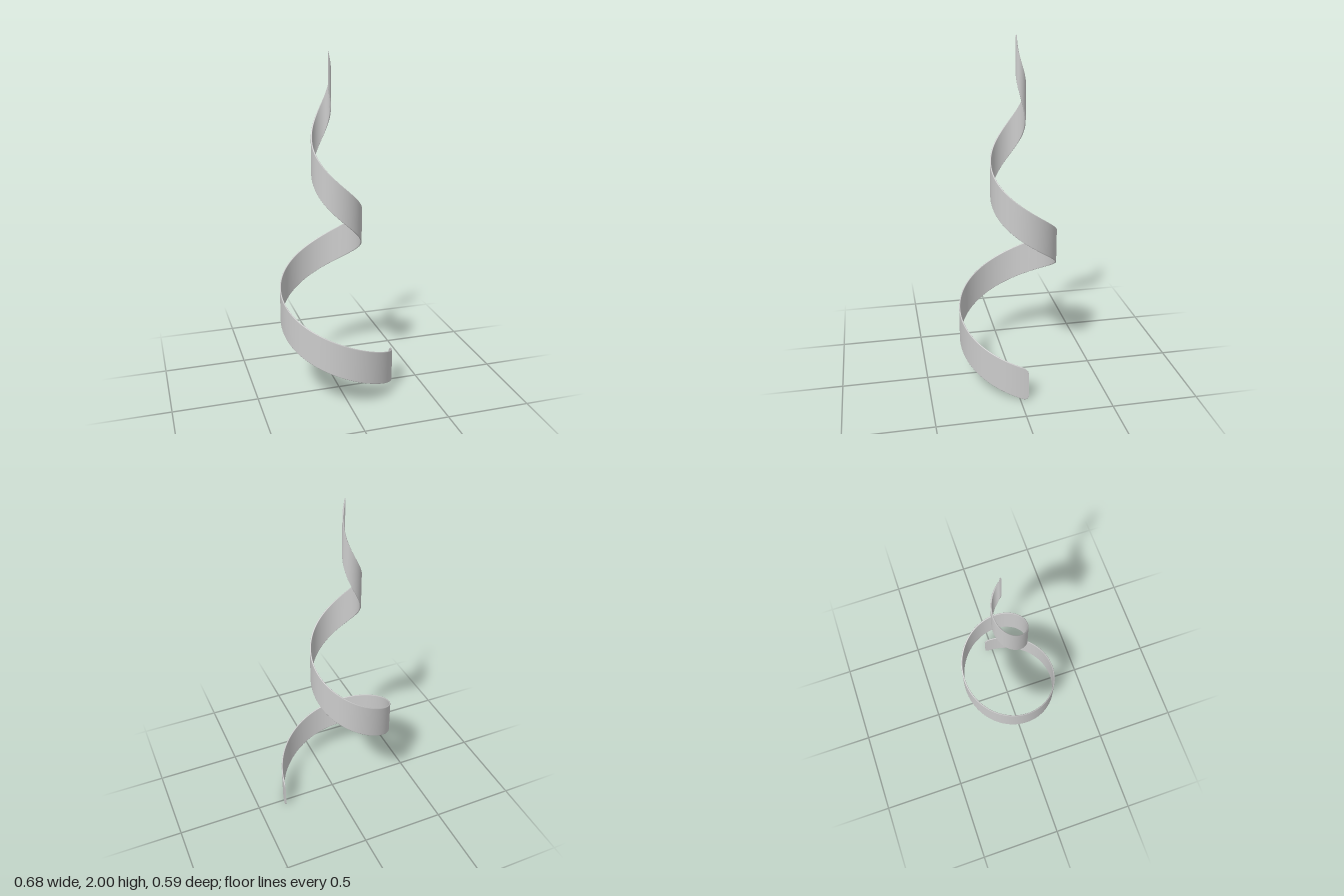
import * as THREE from 'three';

// Spiral centre line: radius shrinks evenly to zero over two turns while it climbs
const TURNS = 2, R0 = 0.386, K = R0 / (TURNS * Math.PI * 2);
const CX = -0.047, CZ = -0.048;
const Y0 = 0.093, Y1 = 1.897;
const HALF_H = 0.103, HALF_T = 0.0035;
const ROUND_LEN = 0.036, ROUND_DROP = 0.032;

// Band cross-section (across, up) with softened upper and lower edges
function section(halfH) {
  const right = [[1, -0.006], [1, -0.003], [0.75, -0.001], [0.3, 0]];
  const top = right.map(([u, d]) => [u * HALF_T, halfH + d]);
  const quarter = (sx, sy) => top.map(([u, v]) => [u * sx, v * sy]);
  return [
    ...quarter(1, -1).reverse(), ...quarter(1, 1),
    ...quarter(-1, 1).reverse(), ...quarter(-1, -1),
  ];
}

function ribbonGeometry(steps = 360) {
  const pos = [], index = [];
  let n = 0, length = 0, last = null;

  for (let i = 0; i <= steps; i++) {
    const f = Math.pow(i / steps, 1.5);          // finer steps at the rounded foot
    const a = f * TURNS * Math.PI * 2;
    const r = R0 - K * a;
    const c = Math.cos(a), s = Math.sin(a);
    const p = new THREE.Vector3(CX + r * c, Y0 + (Y1 - Y0) * f, CZ + r * s);
    if (last) length += Math.hypot(p.x - last.x, p.z - last.z);
    last = p;

    // horizontal outward normal of the spiral
    const tx = -K * c - r * s, tz = -K * s + r * c, tl = Math.hypot(tx, tz);
    const nx = tz / tl, nz = -tx / tl;

    // rounded corners at the foot
    const q = Math.max(0, 1 - length / ROUND_LEN);
    const halfH = HALF_H - ROUND_DROP * (1 - Math.sqrt(1 - q * q));

    const ring = section(halfH);
    n = ring.length;
    for (const [u, v] of ring) pos.push(p.x + nx * u, p.y + v, p.z + nz * u);
  }

  for (let i = 0; i < steps; i++) {
    for (let j = 0; j < n; j++) {
      const k = (j + 1) % n;
      const a = i * n + j, b = i * n + k, c = a + n, d = b + n;
      index.push(a, b, c, b, d, c);
    }
  }

  // end caps with their own vertices, so their edges stay sharp
  for (const [ring, flip] of [[0, true], [steps, false]]) {
    const base = pos.length / 3;
    pos.push(...pos.slice(ring * n * 3, (ring + 1) * n * 3));
    for (let j = 1; j < n - 1; j++) {
      if (flip) index.push(base, base + j + 1, base + j);
      else index.push(base, base + j, base + j + 1);
    }
  }

  const g = new THREE.BufferGeometry();
  g.setAttribute('position', new THREE.Float32BufferAttribute(pos, 3));
  g.setIndex(index);
  g.computeVertexNormals();
  return g;
}

export function createModel() {
  const group = new THREE.Group();
  group.name = 'spiralRibbon';
  const band = new THREE.Mesh(
    ribbonGeometry(),
    new THREE.MeshStandardMaterial({ color: 0xcccccc })
  );
  band.name = 'ribbonBand';
  group.add(band);
  return group;
}
